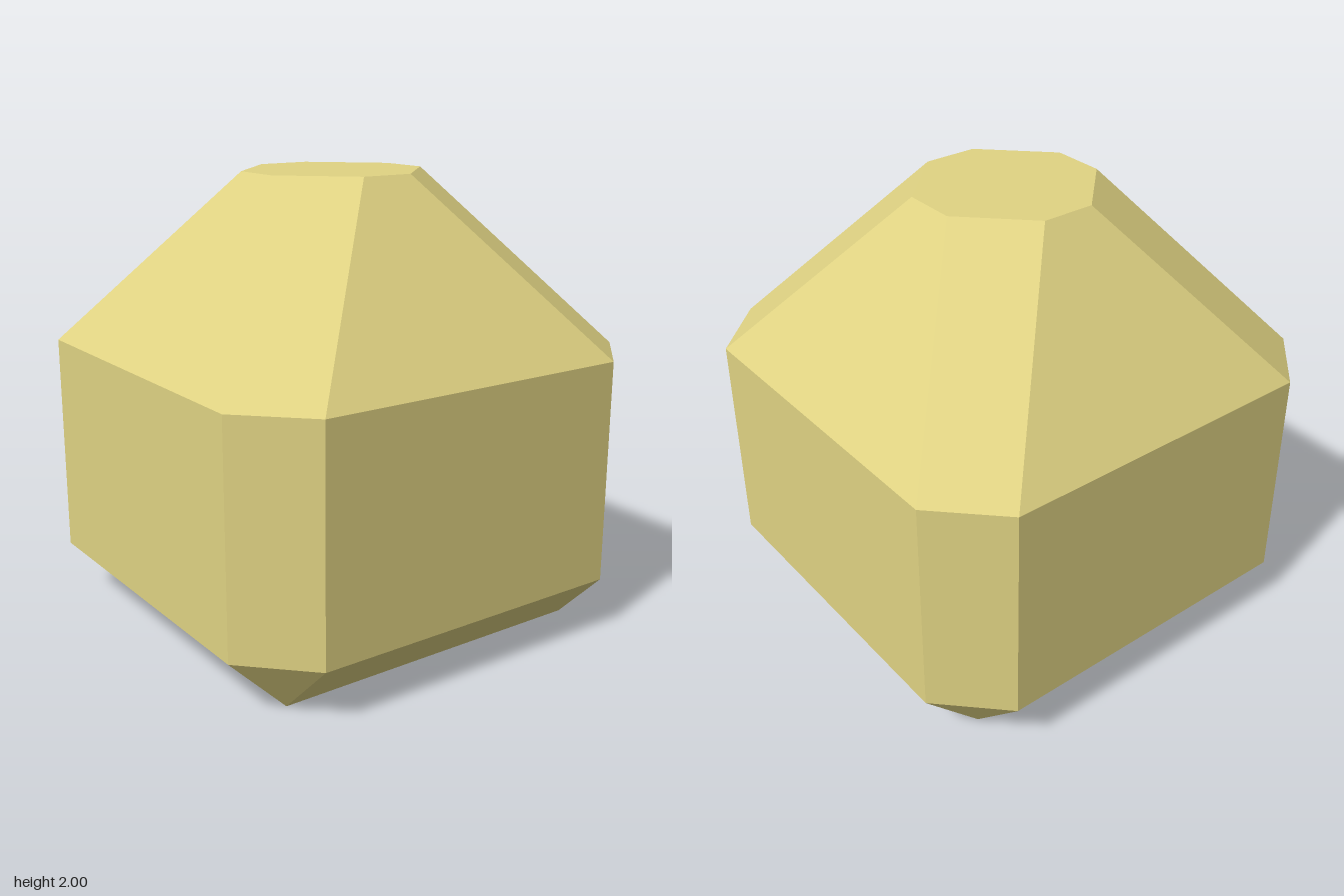
import * as THREE from 'three';

// Square cross-section with cut corners: half width a, half flat side c
const ring = (y, a, c) =>
  [[a, c], [c, a], [-c, a], [-a, c], [-a, -c], [-c, -a], [c, -a], [a, -c]]
    .map(([x, z]) => new THREE.Vector3(x, y, z));

const facets = (triangles) => {
  const geometry = new THREE.BufferGeometry().setFromPoints(triangles);
  geometry.computeVertexNormals();
  return geometry;
};

// Flat faces joining a lower ring to an upper ring
function band(lower, upper) {
  const points = [];
  lower.forEach((a, i) => {
    const j = (i + 1) % lower.length;
    points.push(a, upper[i], upper[j]);
    if (a.distanceTo(lower[j]) > 1e-6) points.push(a, upper[j], lower[j]);
  });
  return facets(points);
}

// Flat lid over a ring, facing up or down
function cap(loop, up) {
  const points = [];
  for (let i = 1; i < loop.length - 1; i++) {
    if (up) points.push(loop[0], loop[i + 1], loop[i]);
    else if (loop[i].distanceTo(loop[i + 1]) > 1e-6 && loop[i].distanceTo(loop[0]) > 1e-6)
      points.push(loop[0], loop[i], loop[i + 1]);
  }
  return facets(points);
}

export function createModel() {
  const group = new THREE.Group();
  group.name = 'facetedBlock';
  const sand = new THREE.MeshStandardMaterial({ color: 0xe0d383 });
  sand.name = 'sandYellow';

  const foot = ring(0, 0.75, 0.75); // corners meet in a plain square
  const wallBottom = ring(0.25, 1, 0.735);
  const wallTop = ring(1.235, 1, 0.735);
  const crown = ring(2, 0.39, 0.12);

  const parts = {
    underside: cap(foot, false),
    bevelledBase: band(foot, wallBottom),
    walls: band(wallBottom, wallTop),
    slopedRoof: band(wallTop, crown),
    flatTop: cap(crown, true),
  };
  for (const [name, geometry] of Object.entries(parts)) {
    const mesh = new THREE.Mesh(geometry, sand);
    mesh.name = name;
    group.add(mesh);
  }
  return group;
}
